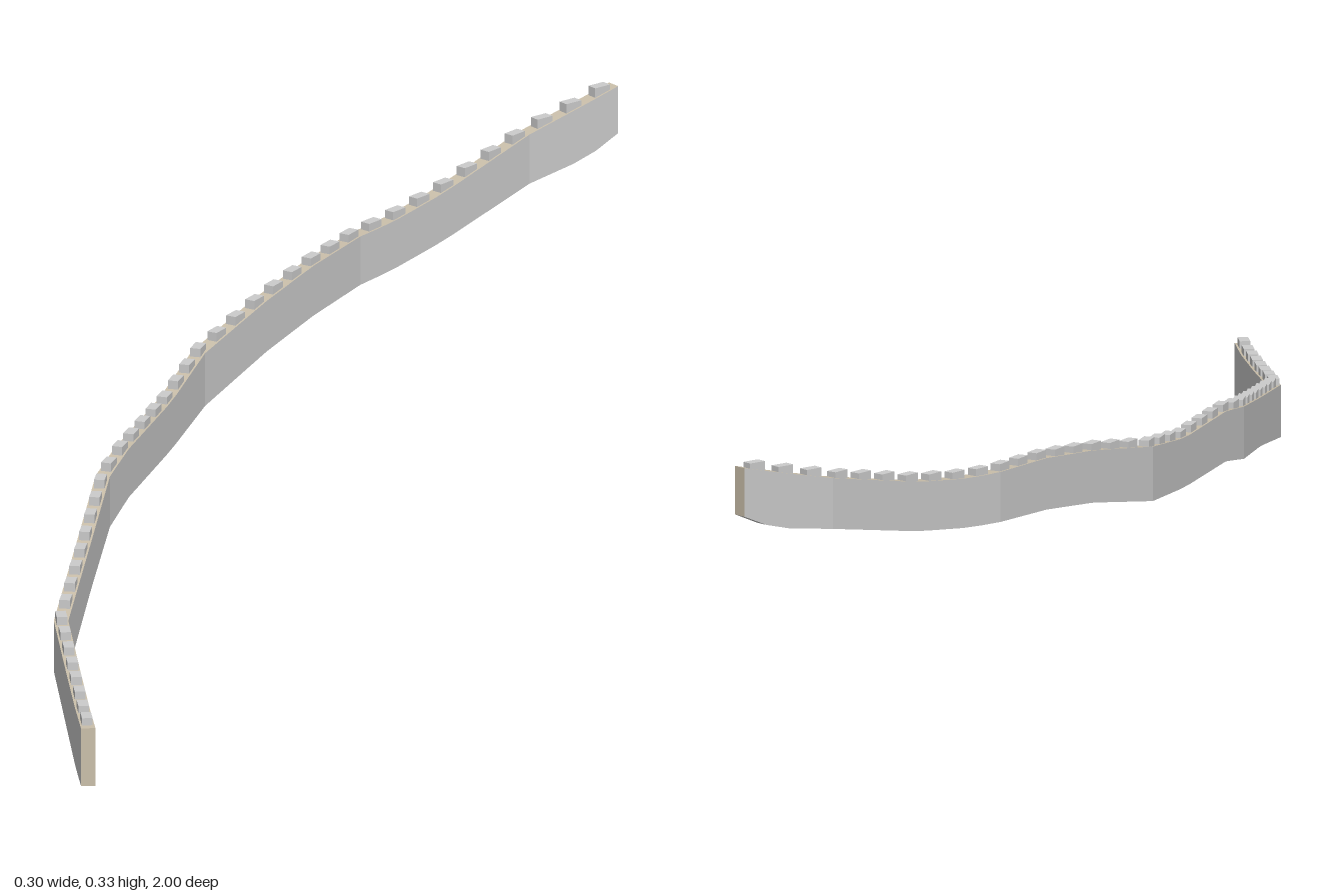
import * as THREE from 'three';

// plan of the wall's centre line (x, z)
const PLAN = [[0.138, 0.996], [-0.024, 0.668], [-0.116, 0.27], [-0.139, -0.145],
  [-0.07, -0.54], [0.045, -0.865], [0.121, -0.995]].map(p => new THREE.Vector2(...p));
// height of the wall's foot and walkway along z (z, foot, top)
const HEIGHTS = [[1, 0, 0.08], [0.93, 0.001, 0.08], [0.8, 0.017, 0.09], [0.668, 0.033, 0.103],
  [0.45, 0.07, 0.135], [0.27, 0.093, 0.163], [0.19, 0.107, 0.174], [0, 0.112, 0.178],
  [-0.145, 0.124, 0.197], [-0.3, 0.152, 0.222], [-0.42, 0.166, 0.235], [-0.6, 0.176, 0.242],
  [-0.7, 0.189, 0.255], [-0.865, 0.222, 0.29], [-0.95, 0.237, 0.312], [-1, 0.262, 0.326]];
const HALF = 0.0095, PITCH = 0.049;

function heightAt(z, k) {
  let i = 0;
  while (i < HEIGHTS.length - 2 && z < HEIGHTS[i + 1][0]) i++;
  const a = HEIGHTS[i], b = HEIGHTS[i + 1];
  const t = THREE.MathUtils.clamp((a[0] - z) / (a[0] - b[0]), 0, 1);
  return a[k] + (b[k] - a[k]) * t;
}

// sideways normal of a plan segment
function normalOf(i) {
  const d = PLAN[i + 1].clone().sub(PLAN[i]).normalize();
  return new THREE.Vector2(-d.y, d.x);
}

// mitred offset at a plan corner
function miter(i) {
  const a = normalOf(Math.max(i - 1, 0)), b = normalOf(Math.min(i, PLAN.length - 2));
  const m = a.clone().add(b).normalize();
  return m.multiplyScalar(HALF / m.dot(a));
}

function quads(list, material, name) {
  const pos = [];
  for (const [a, b, c, d] of list) for (const p of [a, b, c, a, c, d]) pos.push(p.x, p.y, p.z);
  const g = new THREE.BufferGeometry();
  g.setAttribute('position', new THREE.Float32BufferAttribute(pos, 3));
  g.computeVertexNormals();
  const mesh = new THREE.Mesh(g, material);
  mesh.name = name;
  return mesh;
}

export function createModel() {
  const model = new THREE.Group();
  model.name = 'battlementWall';
  const grey = new THREE.MeshStandardMaterial({ color: 0xcccccc });
  const stone = new THREE.MeshStandardMaterial({ color: 0xcabfaa });

  // cross-sections: foot and top on each side
  const sections = [];
  for (let i = 0; i < PLAN.length - 1; i++) {
    const m0 = miter(i), m1 = miter(i + 1);
    const n = Math.max(3, Math.round(PLAN[i].distanceTo(PLAN[i + 1]) / 0.04));
    for (let j = i ? 1 : 0; j <= n; j++) {
      const c = PLAN[i].clone().lerp(PLAN[i + 1], j / n), m = m0.clone().lerp(m1, j / n);
      const at = (s, k) => new THREE.Vector3(c.x + s * m.x, heightAt(c.y, k), c.y + s * m.y);
      sections.push({ lf: at(-1, 1), lt: at(-1, 2), rf: at(1, 1), rt: at(1, 2) });
    }
  }

  // faces between sections; the + side lies toward +x
  const sides = [], tops = [];
  for (let i = 0; i < sections.length - 1; i++) {
    const a = sections[i], b = sections[i + 1];
    sides.push([a.rf, b.rf, b.rt, a.rt], [b.lf, a.lf, a.lt, b.lt], [a.lf, b.lf, b.rf, a.rf]);
    tops.push([a.lt, a.rt, b.rt, b.lt]);
  }
  const s = sections[0], e = sections[sections.length - 1];
  model.add(quads(sides, grey, 'wallFaces'));
  model.add(quads(tops, stone, 'wallWalk'));
  model.add(quads([[s.lf, s.rf, s.rt, s.lt], [e.rf, e.lf, e.lt, e.rt]], stone, 'wallEnds'));

  // merlons at an even pitch along the whole wall
  const merlons = new THREE.Group();
  merlons.name = 'merlons';
  const box = new THREE.BoxGeometry(0.014, 0.02, 0.025);
  const lengths = PLAN.slice(1).map((p, i) => p.distanceTo(PLAN[i]));
  const total = lengths.reduce((a, b) => a + b, 0);
  const count = Math.round(total / PITCH);
  for (let k = 0; k < count; k++) {
    let d = (k + 0.5) * total / count, i = 0;
    while (d > lengths[i]) d -= lengths[i++];
    const c = PLAN[i].clone().lerp(PLAN[i + 1], d / lengths[i]);
    const dir = PLAN[i + 1].clone().sub(PLAN[i]);
    const merlon = new THREE.Mesh(box, grey);
    merlon.name = 'merlon';
    merlon.position.set(c.x, heightAt(c.y, 2), c.y);
    merlon.rotation.y = Math.atan2(dir.x, dir.y);
    merlons.add(merlon);
  }
  model.add(merlons);
  return model;
}
